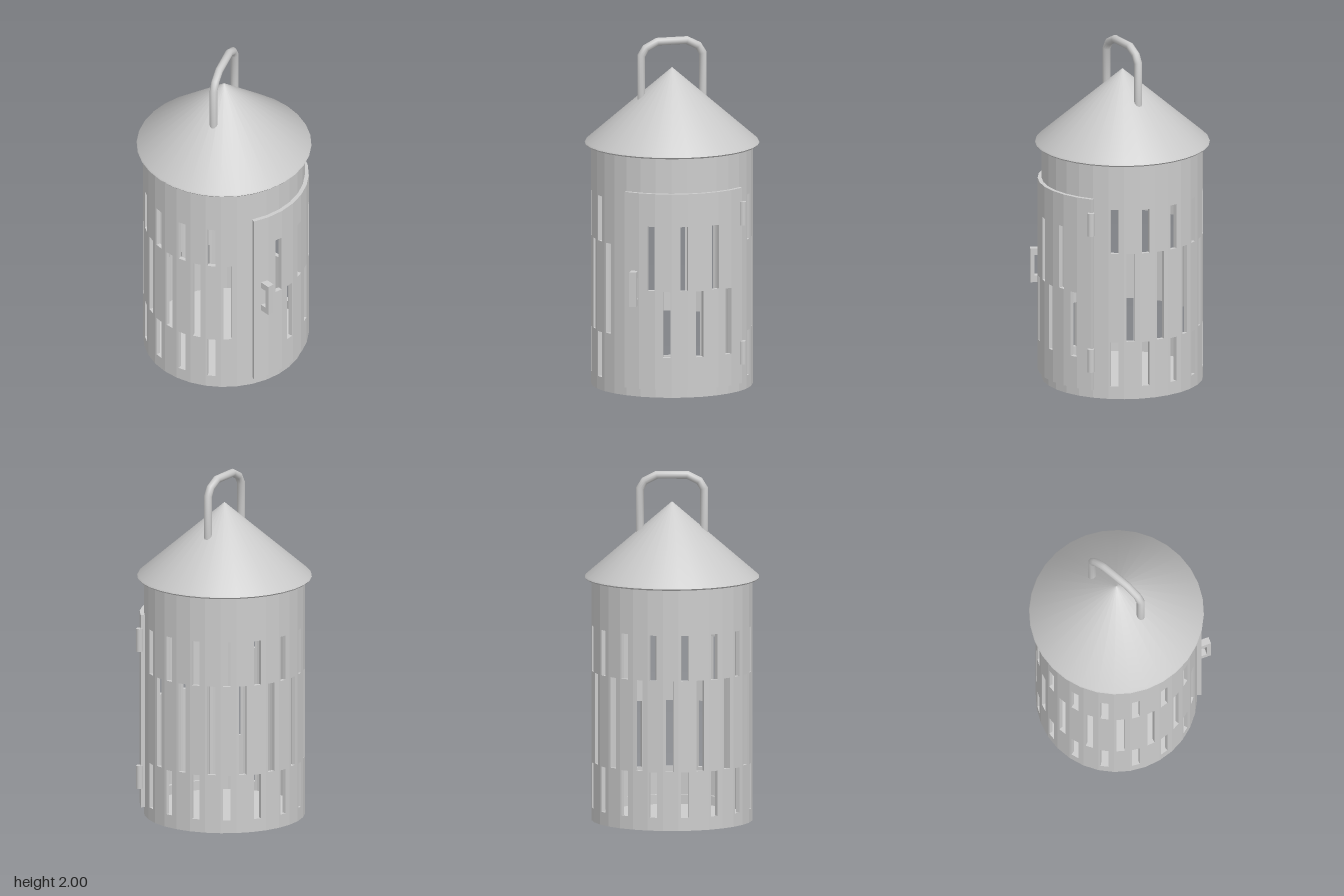
import * as THREE from 'three';
import { toCreasedNormals } from 'three/addons/utils/BufferGeometryUtils.js';

const SIDES = 32;
const STEP = 360 / SIDES;
const rad = THREE.MathUtils.degToRad;
const metal = new THREE.MeshStandardMaterial({ color: 0xcccccc });
const flatMetal = new THREE.MeshStandardMaterial({ color: 0xcccccc, flatShading: true });

function add(parent, name, geometry, material = metal) {
  const mesh = new THREE.Mesh(geometry, material);
  mesh.name = name;
  parent.add(mesh);
  return mesh;
}

// Point on a faceted cylinder; angle in degrees from +x towards +z.
function facetPoint(r, a, y) {
  const off = a - Math.floor(a / STEP - 0.5 + 1e-6) * STEP - STEP;
  const k = r * Math.cos(rad(STEP / 2)) / Math.cos(rad(off));
  return [k * Math.cos(rad(a)), y, k * Math.sin(rad(a))];
}

const sortedBreaks = (list, lo, hi) =>
  [...new Set(list.filter(v => v >= lo && v <= hi).map(v => +v.toFixed(3)))].sort((a, b) => a - b);

// Thick curved wall with rectangular openings { a0, a1, y0, y1 }.
function curvedWall(rIn, rOut, a0, a1, y0, y1, holes) {
  const closed = a1 - a0 >= 360;
  const facets = [];
  for (let i = -SIDES; i <= SIDES; i++) facets.push((i + 0.5) * STEP);
  const A = sortedBreaks([a0, a1, ...facets, ...holes.flatMap(h => [h.a0, h.a1])], a0, a1);
  const Y = sortedBreaks([y0, y1, ...holes.flatMap(h => [h.y0, h.y1])], y0, y1);
  const nA = A.length - 1, nY = Y.length - 1;
  const solid = (i, j) => {
    if (closed) i = (i + nA) % nA;
    if (i < 0 || i >= nA || j < 0 || j >= nY) return false;
    const a = (A[i] + A[i + 1]) / 2, y = (Y[j] + Y[j + 1]) / 2;
    return !holes.some(h => a > h.a0 && a < h.a1 && y > h.y0 && y < h.y1);
  };
  const pos = [];
  const quad = (a, b, c, d) => pos.push(...a, ...b, ...c, ...a, ...c, ...d);
  for (let i = 0; i < nA; i++) {
    for (let j = 0; j < nY; j++) {
      if (!solid(i, j)) continue;
      const corner = (r) => [[i, j], [i, j + 1], [i + 1, j + 1], [i + 1, j]]
        .map(([p, q]) => facetPoint(r, A[p], Y[q]));
      const [o0, o1, o2, o3] = corner(rOut);
      const [n0, n1, n2, n3] = corner(rIn);
      quad(o0, o1, o2, o3);
      quad(n3, n2, n1, n0);
      if (!solid(i - 1, j)) quad(n0, n1, o1, o0);
      if (!solid(i + 1, j)) quad(o3, o2, n2, n3);
      if (!solid(i, j - 1)) quad(n0, o0, o3, n3);
      if (!solid(i, j + 1)) quad(n2, o2, o1, n1);
    }
  }
  const g = new THREE.BufferGeometry();
  g.setAttribute('position', new THREE.Float32BufferAttribute(pos, 3));
  g.computeVertexNormals();
  return g;
}

// A row of equal slots, evenly spaced in angle.
function slotRow(first, spacing, count, y0, y1, width) {
  return Array.from({ length: count }, (_, k) => {
    const c = first + k * spacing;
    return { a0: c - width / 2, a1: c + width / 2, y0, y1 };
  });
}

// Bent rod path: straight runs with mitred corners.
class BentRod extends THREE.Curve {
  constructor(points) { super(); this.points = points; }
  getPoint(t, target = new THREE.Vector3()) {
    const s = t * (this.points.length - 1);
    const i = Math.min(Math.floor(s), this.points.length - 2);
    return target.lerpVectors(this.points[i], this.points[i + 1], s - i);
  }
  getTangent(t, target = new THREE.Vector3()) {
    const p = this.points, n = p.length - 1, i = Math.round(t * n);
    target.set(0, 0, 0);
    if (i > 0) target.add(p[i].clone().sub(p[i - 1]).normalize());
    if (i < n) target.add(p[i + 1].clone().sub(p[i]).normalize());
    return target.normalize();
  }
  getPointAt(u, target) { return this.getPoint(u, target); }
  getTangentAt(u, target) { return this.getTangent(u, target); }
}

export function createModel() {
  const group = new THREE.Group();
  group.name = 'lantern';

  // Slotted body with the doorway cut out
  const start = -4.5 * STEP;
  add(group, 'body', curvedWall(0.436, 0.459, start, start + 360, 0, 1.39, [
    { a0: -37, a1: 48, y0: 0.075, y1: 1.155 },
    ...slotRow(80, 22.5, 11, 0.86, 1.12, 5.6),
    ...slotRow(68.5, 22.5, 11, 0.34, 0.86, 5.6),
    ...slotRow(80, 22.5, 11, 0.075, 0.335, 5.6),
  ]), flatMetal);

  const floor = new THREE.CylinderGeometry(0.45, 0.45, 0.02, SIDES, 1, false, Math.PI / SIDES);
  add(group, 'floor', floor.translate(0, 0.011, 0), flatMetal);

  // Curved door with two rows of slots
  add(group, 'door', curvedWall(0.456, 0.482, -40, 50.5, 0.05, 1.18, [
    ...slotRow(-14.6, 22.75, 3, 0.62, 0.99, 5.2),
    ...slotRow(-25.4, 22.75, 3, 0.235, 0.615, 5.2),
  ]), flatMetal);

  // Door pull: two stubs and a grip
  const pull = new THREE.Group();
  pull.name = 'doorPull';
  pull.position.set(0.403, 0.63, 0.352);
  pull.rotation.y = -rad(28);
  group.add(pull);
  add(pull, 'grip', new THREE.BoxGeometry(0.025, 0.2, 0.04).translate(-0.0125, 0, 0));
  for (const s of [-1, 1]) {
    add(pull, 'stub', new THREE.BoxGeometry(0.045, 0.04, 0.04).translate(-0.0425, s * 0.08, 0));
  }

  // Hinge barrels
  for (const y of [0.228, 1.033]) {
    add(group, 'hinge', new THREE.CylinderGeometry(0.02, 0.02, 0.135, 12)).position.set(0.378, y, -0.307);
  }

  // Conical roof shell
  const profile = [[0, 1.8], [0.455, 1.405], [0.455, 1.385], [0.49, 1.385], [0.497, 1.393], [0.492, 1.402], [0, 1.826]]
    .map(([x, y]) => new THREE.Vector2(x, y));
  add(group, 'roof', toCreasedNormals(new THREE.LatheGeometry(profile, SIDES, Math.PI / SIDES), 0.6));

  // Carrying loop
  const half = [[0.182, 1.65], [0.182, 1.9], [0.155, 1.943], [0.087, 1.977]];
  const path = [...half, ...half.map(([z, y]) => [-z, y]).reverse()]
    .map(([z, y]) => new THREE.Vector3(0, y, z));
  add(group, 'carryLoop', new THREE.TubeGeometry(new BentRod(path), path.length - 1, 0.023, 12));

  return group;
}
